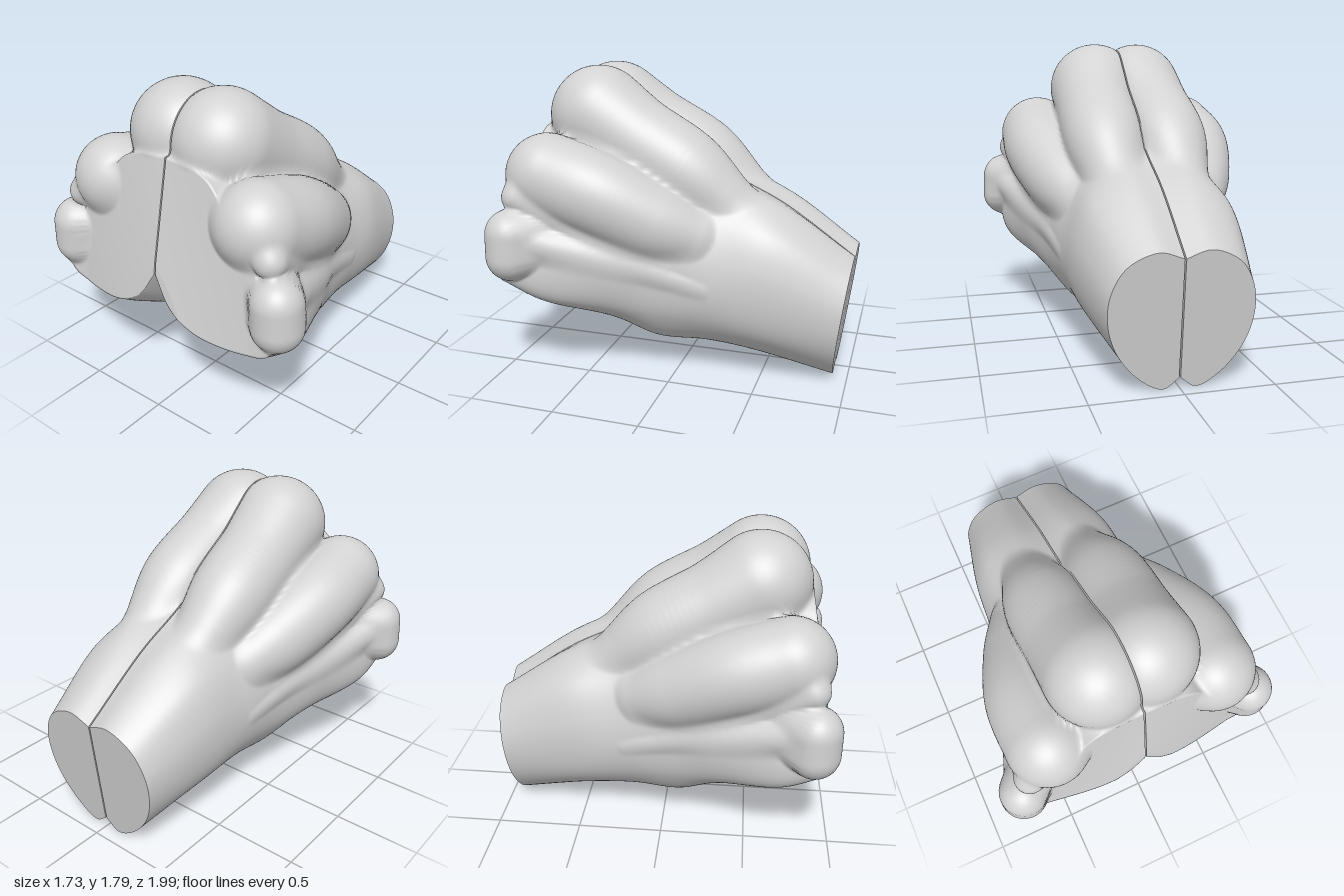
import * as THREE from 'three';

const GAP = 0.004; // half width of the midline fissure

// Half cross-sections: [z, then x,y pairs from top centre, round the side, to bottom centre]
const SECTIONS = [
  [0.95, 0, 1.47, 0.28, 1.42, 0.46, 1.2, 0.63, 1.0, 0.74, 0.8, 0.72, 0.62, 0.35, 0.58, 0.12, 0.68, 0, 0.85],
  [0.7, 0, 1.5, 0.28, 1.42, 0.48, 1.2, 0.65, 0.98, 0.74, 0.74, 0.71, 0.53, 0.38, 0.43, 0.13, 0.49, 0, 0.64],
  [0.35, 0, 1.4, 0.28, 1.32, 0.5, 1.1, 0.61, 0.9, 0.65, 0.66, 0.59, 0.46, 0.36, 0.32, 0.13, 0.35, 0, 0.42],
  [0.1, 0, 1.3, 0.26, 1.22, 0.44, 1.02, 0.54, 0.84, 0.56, 0.62, 0.52, 0.42, 0.36, 0.23, 0.14, 0.19, 0, 0.25],
  [-0.2, 0, 1.14, 0.24, 1.14, 0.4, 0.97, 0.49, 0.76, 0.51, 0.56, 0.46, 0.38, 0.32, 0.22, 0.13, 0.16, 0, 0.22],
  [-0.5, 0, 1.0, 0.18, 1.03, 0.38, 0.92, 0.47, 0.72, 0.48, 0.5, 0.43, 0.33, 0.3, 0.19, 0.13, 0.11, 0, 0.16],
  [-0.96, 0, 0.71, 0.14, 0.75, 0.3, 0.68, 0.38, 0.54, 0.39, 0.38, 0.34, 0.22, 0.22, 0.07, 0.09, 0, 0, 0.06],
];

// Swellings that grow out of the stem: paths of [x, y, z, radius]
const LOBES = {
  upperLobe: [[0.14, 1.5, 0.53, 0.29], [0.17, 1.37, 0.3, 0.26],
    [0.19, 1.21, 0, 0.245], [0.19, 1.08, -0.18, 0.2], [0.18, 0.92, -0.4, 0.13]],
  sideLobe: [[0.5, 1.2, 0.705, 0.24], [0.5, 1.11, 0.42, 0.24],
    [0.42, 0.96, 0.12, 0.225], [0.36, 0.87, -0.1, 0.17]],
  outerKnob: [[0.72, 0.9, 0.845, 0.142], [0.725, 0.775, 0.845, 0.142]],
  outerRidge: [[0.68, 0.86, 0.76, 0.12], [0.61, 0.79, 0.5, 0.1],
    [0.52, 0.7, 0.15, 0.07], [0.45, 0.6, -0.2, 0.05]],
  upperRidge: [[0.66, 1.1, 0.82, 0.09], [0.62, 0.97, 0.6, 0.07],
    [0.56, 0.83, 0.3, 0.05], [0.48, 0.72, 0, 0.04]],
};

function build(points, index) {
  const g = new THREE.BufferGeometry().setFromPoints(points);
  g.setIndex(index);
  g.computeVertexNormals();
  return g;
}

// Skin over rings ordered front to back
function skin(rings) {
  const n = rings[0].length, index = [];
  for (let i = 0; i < rings.length - 1; i++) {
    for (let j = 0; j < n - 1; j++) {
      const a = i * n + j, b = a + 1, c = a + n, d = b + n;
      index.push(a, b, c, b, d, c);
    }
  }
  return build(rings.flat(), index);
}

// Flat cut end, facing backward
function backCap(ring) {
  const tris = THREE.ShapeUtils.triangulateShape(ring.map(p => new THREE.Vector2(p.x, p.y)), []);
  const index = [];
  for (const [a, b, c] of tris) {
    const p = ring[a], q = ring[b], r = ring[c];
    const ccw = (q.x - p.x) * (r.y - p.y) - (q.y - p.y) * (r.x - p.x) > 0;
    index.push(...(ccw ? [a, c, b] : [a, b, c]));
  }
  return build(ring, index);
}

// Both end planes lean; the front also swells toward the lower midline
function lean(p) {
  const front = THREE.MathUtils.smoothstep(p.z, 0.7, 0.95);
  const swell = Math.max(0, 1 - p.x / 0.6) * Math.max(0, 1.5 - p.y) / 0.6;
  return new THREE.Vector3(p.x, p.y, p.z - 0.12 * (p.y - 0.4) + 0.06 * front * Math.min(swell, 1));
}

// Rings of the plain stem: first across the front face, then along the length
function stemRings() {
  const rails = [];
  for (let j = 0; j < 9; j++) {
    rails.push(new THREE.CatmullRomCurve3(
      SECTIONS.map(s => new THREE.Vector3(s[1 + 2 * j], s[2 + 2 * j], s[0]))));
  }
  const section = t => new THREE.CatmullRomCurve3(rails.map(r => r.getPoint(t))).getPoints(140);
  const rim = section(0), centre = new THREE.Vector3(0, 1.05, 0.95);
  const rings = [];
  for (let i = 0; i < 50; i++) rings.push(rim.map(p => centre.clone().lerp(p, i / 50)));
  for (let i = 0; i <= 120; i++) rings.push(section(i / 120));
  return rings.map(ring => ring.map(lean));
}

// Each lobe becomes a chain of overlapping balls
function ballChain(path) {
  const curve = new THREE.CatmullRomCurve3(path.map(p => new THREE.Vector3(p[0], p[1], p[2])));
  const radius = new THREE.CatmullRomCurve3(path.map((p, i) => new THREE.Vector3(p[3], i, 0)));
  const balls = [];
  for (let i = 0; i <= 40; i++) {
    balls.push({ centre: curve.getPoint(i / 40), r: radius.getPoint(i / 40).x });
  }
  return balls;
}

function smoothMax(a, b, k) {
  const h = Math.max(k - Math.abs(a - b), 0) / k;
  return Math.max(a, b) + h * h * k / 4;
}

// Push a stem point outward from the core until it lies on the lobes, with soft valleys
function swellPoint(v, chains) {
  const z = Math.min(v.z, 0.35);
  const core = new THREE.Vector3(v.x * 0.4, 0.38 + (z + 0.96) * 0.38, z);
  const dir = v.clone().sub(core);
  const length = dir.length();
  dir.divideScalar(length);
  const rel = new THREE.Vector3();
  let reach = length;
  for (const balls of chains) {
    let far = -10;
    for (const { centre, r } of balls) {
      rel.copy(centre).sub(core);
      const along = rel.dot(dir);
      const off = Math.sqrt(Math.max(0, rel.lengthSq() - along * along));
      const exit = off < r ? along + Math.sqrt(r * r - off * off) : along - 4 * (off - r);
      far = Math.max(far, exit);
    }
    reach = smoothMax(reach, far, 0.05);
  }
  const p = core.addScaledVector(dir, reach);
  p.x = Math.max(p.x, GAP);
  return p;
}

function mirrored(geometry) {
  const g = geometry.clone();
  const p = g.attributes.position;
  for (let i = 0; i < p.count; i++) p.setX(i, -p.getX(i));
  const idx = g.index.array;
  for (let i = 0; i < idx.length; i += 3) [idx[i + 1], idx[i + 2]] = [idx[i + 2], idx[i + 1]];
  g.computeVertexNormals();
  return g;
}

export function createModel() {
  const tissue = new THREE.MeshStandardMaterial({ color: 0xd2d2d2 });
  tissue.name = 'tissue grey';

  const chains = Object.values(LOBES).map(ballChain);
  const rings = stemRings().map(ring => ring.map(p => swellPoint(p, chains)));
  const parts = {
    stemWithLobes: skin(rings),
    innerWall: skin(rings.map(r => [r[r.length - 1], r[0]])),
    backFace: backCap(rings[rings.length - 1]),
  };

  const model = new THREE.Group();
  model.name = 'model';
  for (const side of ['left', 'right']) {
    const half = new THREE.Group();
    half.name = side + 'Half';
    for (const [name, geometry] of Object.entries(parts)) {
      const mesh = new THREE.Mesh(side === 'left' ? geometry : mirrored(geometry), tissue);
      mesh.name = name;
      half.add(mesh);
    }
    model.add(half);
  }
  return model;
}
